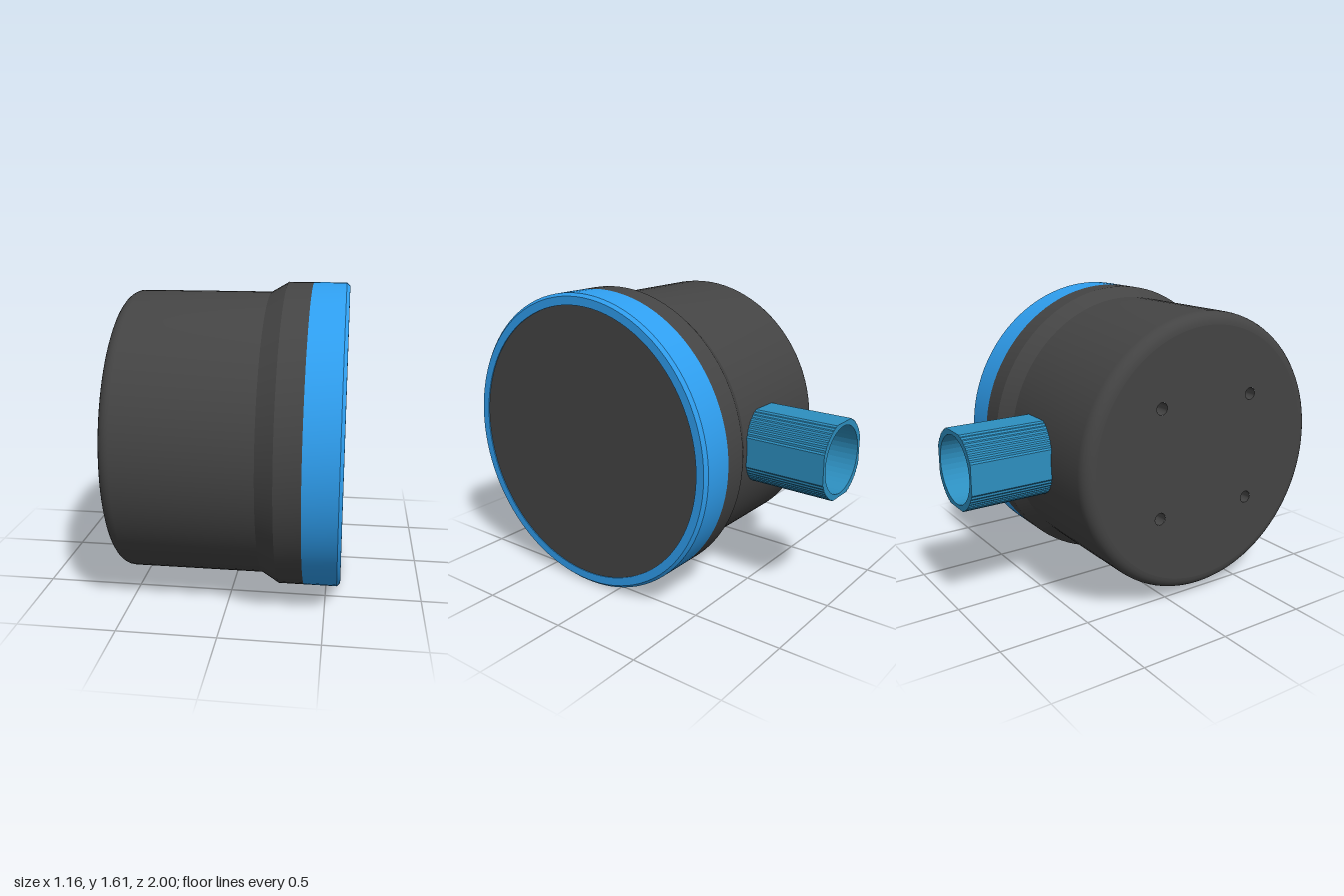
import * as THREE from 'three';
import { toCreasedNormals } from 'three/addons/utils/BufferGeometryUtils.js';

const CY = 0.806, CZ = 0.194;        // main axis, running along x
const dark = new THREE.MeshStandardMaterial({ color: 0x444444 });
const blue = new THREE.MeshStandardMaterial({ color: 0x2f9ff0 });
const teal = new THREE.MeshStandardMaterial({ color: 0x2d8fc0 });

export function createModel() {
  const group = new THREE.Group();
  const add = (name, geometry, material, parent = group) => {
    const mesh = new THREE.Mesh(geometry, material);
    mesh.name = name;
    parent.add(mesh);
    return mesh;
  };

  const housing = new THREE.Group();
  housing.name = 'housing';
  housing.position.set(0, CY, CZ);
  group.add(housing);

  // Turn a [radius, x] profile around the x axis
  const turned = (name, profile, material) => {
    const g = new THREE.LatheGeometry(profile.map(([r, x]) => new THREE.Vector2(r, x)), 96);
    g.rotateZ(-Math.PI / 2);
    return add(name, toCreasedNormals(g, 0.35), material, housing);
  };

  // Main shell: rounded rear edge, straight barrel, conical step to the wide rim
  const fillet = [];
  for (let i = 0; i <= 6; i++) {
    const a = (i / 6) * Math.PI / 2;
    fillet.push([0.689 + 0.065 * Math.sin(a), -0.515 - 0.065 * Math.cos(a)]);
  }
  turned('shell', [...fillet, [0.754, 0.17], [0.806, 0.26], [0.806, 0.39]], dark);

  // Coloured ring with a chamfered front edge, around a flat disc
  turned('ring', [[0.806, 0.39], [0.806, 0.56], [0.79, 0.577], [0.745, 0.577], [0.745, 0.57]], blue);
  turned('facePlate', [[0.745, 0.572], [0, 0.572]], dark);

  // Rear plate with four screw holes
  const plate = new THREE.Shape().absarc(0, 0, 0.689, 0, Math.PI * 2);
  const holeR = 0.033, holeDepth = 0.12;
  for (const u of [-0.295, 0.295]) for (const v of [-0.295, 0.295]) {
    plate.holes.push(new THREE.Path().absarc(u, v, holeR, 0, Math.PI * 2, true));
    const well = new THREE.LatheGeometry(
      [new THREE.Vector2(0, 0), new THREE.Vector2(holeR, 0), new THREE.Vector2(holeR, holeDepth)], 24);
    well.rotateZ(Math.PI / 2);
    const wall = add('screwHole', toCreasedNormals(well, 0.6),
      new THREE.MeshStandardMaterial({ color: 0x444444, side: THREE.DoubleSide }), housing);
    wall.position.set(-0.58 + holeDepth, v, u);
  }
  const rear = new THREE.ShapeGeometry(plate, 48);
  rear.rotateY(-Math.PI / 2);
  add('rearPlate', rear, dark, housing).position.x = -0.58;

  // Rear connector: four flats joined by finely fluted corners, with a stepped bore
  const connector = new THREE.Group();
  connector.name = 'connector';
  connector.position.set(-0.06, CY, 0);
  group.add(connector);

  const outline = [];
  const start = Math.atan2(0.08, 0.2), steps = 16;
  for (let q = 0; q < 4; q++) for (let i = 0; i <= steps; i++) {
    const a = q * Math.PI / 2 + start + (i / steps) * (Math.PI / 2 - 2 * start);
    const r = i % 2 ? 0.211 : 0.2154;
    outline.push(new THREE.Vector2(r * Math.cos(a), r * Math.sin(a)));
  }
  const sleeve = (name, bore, z0, z1) => {
    const shape = new THREE.Shape(outline);
    shape.holes.push(new THREE.Path().absarc(0, 0, bore, 0, Math.PI * 2, true));
    const g = new THREE.ExtrudeGeometry(shape, { depth: z1 - z0, bevelEnabled: false, curveSegments: 20 });
    add(name, g, teal, connector).position.z = z0;
  };
  sleeve('connectorMouth', 0.18, -1, -0.81);
  sleeve('connectorNeck', 0.1, -0.81, -0.45);

  return group;
}
